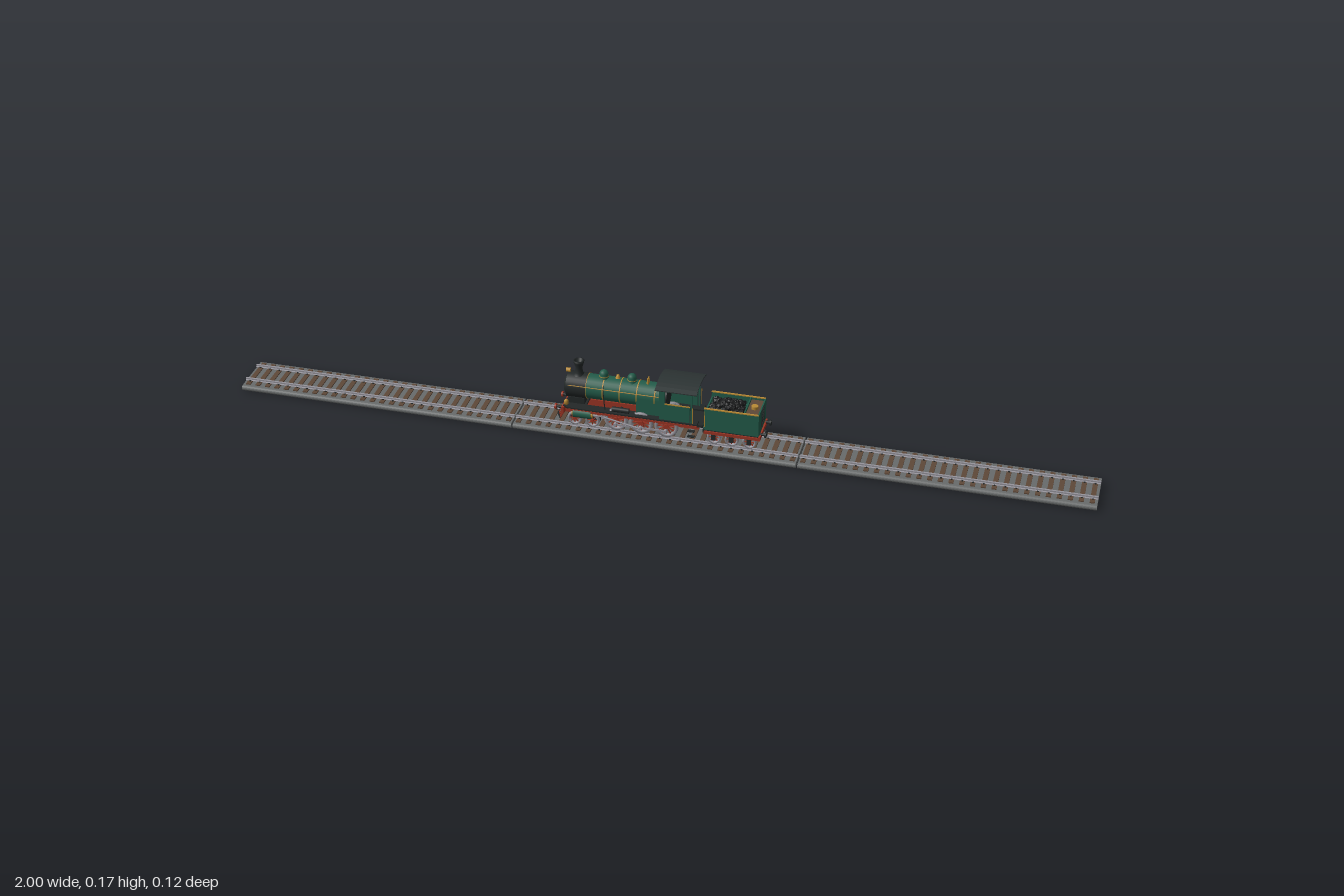
import * as THREE from 'three';
import { mergeGeometries } from 'three/addons/utils/BufferGeometryUtils.js';

const mat = (name, color, side = THREE.FrontSide) => {
  const m = new THREE.MeshStandardMaterial({ color, side });
  m.name = name;
  return m;
};

export function createModel() {
  const green = mat('locomotive green', 0x235c4a, THREE.DoubleSide);
  const black = mat('soot black', 0x232828);
  const red = mat('chassis red', 0x9c3524);
  const gold = mat('brass', 0xb98a35);
  const steel = mat('steel', 0x96949c);
  const ballastGrey = mat('ballast grey', 0x686b6b);
  const brown = mat('sleeper brown', 0x5e4838);
  const coalMat = mat('coal', 0x191a1b);
  const roofMat = mat('roof grey', 0x2c3333);

  const model = new THREE.Group();
  model.name = 'steamTrainOnTrack';
  const group = (name) => {
    const g = new THREE.Group();
    g.name = name;
    model.add(g);
    return g;
  };
  const add = (parent, name, geo, m, x = 0, y = 0, z = 0) => {
    const mesh = new THREE.Mesh(geo, m);
    mesh.name = name;
    mesh.position.set(x, y, z);
    parent.add(mesh);
    return mesh;
  };
  // box given by its extents along x, y and z
  const box = (p, name, m, x0, x1, y0, y1, z0, z1) => add(p, name,
    new THREE.BoxGeometry(x1 - x0, y1 - y0, z1 - z0), m, (x0 + x1) / 2, (y0 + y1) / 2, (z0 + z1) / 2);
  const cylX = (p, name, m, r, x0, x1, y, z, r2 = r) => add(p, name,
    new THREE.CylinderGeometry(r2, r, x1 - x0, 28).rotateZ(-Math.PI / 2), m, (x0 + x1) / 2, y, z);
  const cylZ = (p, name, m, r, len, x, y, z) => add(p, name,
    new THREE.CylinderGeometry(r, r, len, 20).rotateX(Math.PI / 2), m, x, y, z);
  const lathe = (p, name, m, pts, x, y) => add(p, name,
    new THREE.LatheGeometry(pts.map(([r, h]) => new THREE.Vector2(r, h)), 24), m, x, y, 0);
  const rod = (p, name, m, r, ...pts) => {
    const curve = new THREE.CatmullRomCurve3(pts.map((q) => new THREE.Vector3(...q)));
    return add(p, name, new THREE.TubeGeometry(curve, pts.length * 3, r, 8), m);
  };
  const bothSides = (fn) => [1, -1].forEach(fn);

  // Track: three sections with rounded ballast shoulders
  const track = group('track');
  const bed = new THREE.Shape();
  bed.moveTo(-0.054, 0);
  bed.lineTo(0.054, 0);
  bed.absarc(0.0535, 0.0065, 0.0065, -Math.PI / 2, Math.PI / 2, false);
  bed.lineTo(-0.054, 0.013);
  bed.absarc(-0.0535, 0.0065, 0.0065, Math.PI / 2, Math.PI * 1.5, false);
  const railShape = new THREE.Shape([[-0.004, 0], [0.004, 0], [0.004, 0.001], [0.001, 0.0018], [0.001, 0.004],
    [0.0022, 0.0045], [0.0022, 0.006], [-0.0022, 0.006], [-0.0022, 0.0045], [-0.001, 0.004], [-0.001, 0.0018],
    [-0.004, 0.001]].map(([a, b]) => new THREE.Vector2(a, b)));
  const along = (shape, len) => new THREE.ExtrudeGeometry(shape, { depth: len, bevelEnabled: false, curveSegments: 8 })
    .translate(0, 0, -len / 2).rotateY(Math.PI / 2);
  const SECTION = 2 / 3, PER = 28;
  for (let s = -1; s <= 1; s++) {
    const cx = s * SECTION, len = SECTION - (s ? 0.002 : 0.004);
    const x = cx + s * 0.001;
    add(track, 'ballastBed', along(bed, len), ballastGrey, x, 0, 0);
    bothSides((k) => add(track, 'rail', along(railShape, len), steel, x, 0.0148, k * 0.031));
    const sleepers = [], clips = [];
    for (let i = 0; i < PER; i++) {
      const sx = cx + ((i + 0.5) / PER - 0.5) * SECTION;
      sleepers.push(new THREE.BoxGeometry(0.011, 0.004, 0.098).translate(sx, 0.0135, 0));
      for (const z of [-0.0365, -0.0255, 0.0255, 0.0365])
        clips.push(new THREE.BoxGeometry(0.004, 0.0015, 0.003).translate(sx, 0.016, z));
    }
    add(track, 'sleepers', mergeGeometries(sleepers), brown);
    add(track, 'railClips', mergeGeometries(clips), black);
  }

  // Spoked wheel pair with axle
  const RAIL = 0.0205;
  const wheelSet = (parent, x, r, spokes) => {
    const y = RAIL + r, t = r * 0.13;
    cylZ(parent, 'axle', black, 0.004, 0.062, x, y, 0);
    const rim = [[r - 2 * t, -0.003], [r, -0.003], [r, 0.003], [r - 2 * t, 0.003], [r - 2 * t, -0.003]];
    bothSides((k) => {
      const w = new THREE.Group();
      w.name = 'wheel';
      w.position.set(x, y, k * 0.031);
      parent.add(w);
      add(w, 'tyre', new THREE.LatheGeometry(rim.map(([a, b]) => new THREE.Vector2(a, b)), 32)
        .rotateX(Math.PI / 2), steel);
      add(w, 'flange', new THREE.TorusGeometry(r, 0.001, 6, 32), steel, 0, 0, -k * 0.003);
      const arms = [];
      for (let i = 0; i < spokes; i++)
        arms.push(new THREE.BoxGeometry(r * 0.85, r * 0.08, 0.003).translate(r * 0.42, 0, 0)
          .rotateZ(i / spokes * Math.PI * 2));
      add(w, 'spokes', mergeGeometries(arms), red);
      cylZ(w, 'hub', red, r * 0.22, 0.009, 0, 0, 0);
    });
  };

  // Locomotive chassis and running gear
  const chassis = group('locomotiveChassis');
  const drivers = [-0.092, -0.033, 0.026];
  drivers.forEach((x) => wheelSet(chassis, x, 0.027, 12));
  [-0.19, -0.148].forEach((x) => wheelSet(chassis, x, 0.016, 8));
  bothSides((k) => {
    box(chassis, 'mainFrame', red, -0.215, 0.1, 0.044, 0.06, k * 0.02 - 0.002, k * 0.02 + 0.002);
    box(chassis, 'bogieFrame', black, -0.207, -0.13, 0.035, 0.042, k * 0.024 - 0.002, k * 0.024 + 0.002);
    cylX(chassis, 'cylinder', green, 0.0115, -0.19, -0.148, 0.056, k * 0.038);
    cylX(chassis, 'cylinderCap', gold, 0.008, -0.193, -0.145, 0.056, k * 0.038);
    box(chassis, 'couplingRod', steel, drivers[0] - 0.004, drivers[2] + 0.004, 0.036, 0.0405, k * 0.039 - 0.001, k * 0.039 + 0.001);
    rod(chassis, 'mainRod', steel, 0.002, [-0.118, 0.056, k * 0.043], [drivers[1], 0.0385, k * 0.043]);
    rod(chassis, 'pistonRod', steel, 0.0015, [-0.148, 0.056, k * 0.041], [-0.112, 0.056, k * 0.041]);
    box(chassis, 'crosshead', steel, -0.124, -0.113, 0.051, 0.061, k * 0.041 - 0.002, k * 0.041 + 0.002);
    drivers.forEach((x) => cylZ(chassis, 'crankPin', steel, 0.004, 0.012, x, 0.0385, k * 0.038));
    box(chassis, 'runningBoard', black, -0.208, 0.1, 0.066, 0.07, Math.min(k * 0.022, k * 0.044), Math.max(k * 0.022, k * 0.044));
    box(chassis, 'runningBoardEdge', red, -0.208, 0.1, 0.062, 0.067, k * 0.044 - 0.001, k * 0.044 + 0.001);
    for (let i = 0; i < 2; i++)
      box(chassis, 'cabStep', black, 0.078, 0.094, 0.035 + i * 0.014, 0.037 + i * 0.014, k * 0.041 - 0.004, k * 0.041 + 0.004);
    cylX(chassis, 'bufferShank', black, 0.003, -0.234, -0.215, 0.058, k * 0.027);
    cylX(chassis, 'bufferHead', red, 0.0065, -0.238, -0.234, 0.058, k * 0.027);
    lathe(chassis, 'headlamp', gold, [[0, 0], [0.005, 0], [0.005, 0.009], [0.002, 0.012], [0, 0.012]], -0.21, 0.07).position.z = k * 0.03;
  });
  box(chassis, 'bufferBeam', red, -0.219, -0.213, 0.05, 0.067, -0.042, 0.042);
  box(chassis, 'frontDeck', black, -0.216, -0.165, 0.064, 0.068, -0.036, 0.036);
  box(chassis, 'ashPan', black, -0.012, 0.07, 0.046, 0.075, -0.017, 0.017);
  // Sloping bars of the track guard
  for (let i = -4; i <= 4; i++)
    rod(chassis, 'guardBar', red, 0.0013, [-0.215, 0.051, i * 0.008], [-0.238 + Math.abs(i) * 0.003, 0.028, i * 0.007]);
  rod(chassis, 'guardFoot', black, 0.0018, [-0.225, 0.028, -0.03], [-0.238, 0.028, 0], [-0.225, 0.028, 0.03]);

  // Boiler with mountings
  const boiler = group('boiler');
  const BY = 0.108, BR = 0.029;
  cylX(boiler, 'smokebox', black, BR + 0.001, -0.212, -0.165, BY, 0);
  cylX(boiler, 'boilerBarrel', green, BR, -0.165, 0.012, BY, 0);
  cylX(boiler, 'smokeboxDoor', black, 0.019, -0.218, -0.212, BY, 0, 0.024);
  cylX(boiler, 'doorHandle', gold, 0.003, -0.222, -0.217, BY, 0);
  box(boiler, 'smokeboxSaddle', black, -0.207, -0.17, 0.06, 0.084, -0.02, 0.02);
  box(boiler, 'firebox', green, -0.045, 0.012, 0.07, BY, -BR, BR);
  [-0.165, -0.125, -0.085, -0.045, -0.003].forEach((x) => cylX(boiler, 'boilerBand', gold, BR + 0.0009, x - 0.0012, x + 0.0012, BY, 0));
  lathe(boiler, 'chimney', black, [[0.014, 0], [0.009, 0.006], [0.008, 0.019], [0.012, 0.032], [0.0125, 0.037],
    [0.009, 0.037], [0.007, 0.03], [0, 0.03]], -0.187, 0.135);
  cylZ(boiler, 'frontLamp', gold, 0.005, 0.01, -0.212, 0.143, 0).rotation.y = Math.PI / 2;
  const dome = [[0.013, 0], [0.0105, 0.004], [0.0105, 0.013], [0.008, 0.018], [0.004, 0.0205], [0, 0.021]];
  [-0.128, -0.062].forEach((x) => {
    lathe(boiler, 'dome', green, dome, x, 0.134);
    lathe(boiler, 'domeRing', gold, [[0.0108, 0], [0.0115, 0.001], [0.0108, 0.002]], x, 0.139);
  });
  [-0.004, 0.004].forEach((z) => add(boiler, 'safetyValve', new THREE.CylinderGeometry(0.002, 0.003, 0.014, 12), gold, -0.024, 0.143, z));
  lathe(boiler, 'bell', gold, [[0.006, 0], [0.004, 0.004], [0.003, 0.008], [0, 0.009]], -0.095, 0.139);
  bothSides((k) => {
    rod(boiler, 'handrail', gold, 0.001, [-0.205, 0.121, k * 0.031], [0.008, 0.121, k * 0.031]);
    rod(boiler, 'sandPipe', black, 0.0012, [-0.128, 0.136, k * 0.009], [-0.122, 0.115, k * 0.031], [-0.118, 0.07, k * 0.032]);
    cylX(boiler, 'airTank', black, 0.006, -0.1, -0.06, 0.077, k * 0.036);
  });

  // Cab with open windows and a curved roof
  const cab = group('cab');
  const front = new THREE.Shape([[-0.039, 0.062], [0.039, 0.062], [0.039, 0.148], [0, 0.154], [-0.039, 0.148]]
    .map(([a, b]) => new THREE.Vector2(a, b)));
  bothSides((k) => front.holes.push(new THREE.Path([[k * 0.035, 0.117], [k * 0.035, 0.142], [k * 0.012, 0.142], [k * 0.027, 0.124]]
    .map(([a, b]) => new THREE.Vector2(a, b)))));
  add(cab, 'cabFront', along(front, 0.003), green, 0.012, 0, 0);
  bothSides((k) => {
    const z0 = k * 0.039 - 0.0015, z1 = k * 0.039 + 0.0015;
    box(cab, 'cabSide', green, 0.011, 0.082, 0.062, 0.112, z0, z1);
    box(cab, 'frontPost', green, 0.011, 0.024, 0.112, 0.15, z0, z1);
    box(cab, 'rearPost', green, 0.084, 0.088, 0.068, 0.15, z0, z1);
    box(cab, 'windowHead', green, 0.011, 0.088, 0.143, 0.15, z0, z1);
    box(cab, 'windowSill', gold, 0.024, 0.083, 0.111, 0.1135, k * 0.041 - 0.001, k * 0.041 + 0.001);
    rod(cab, 'cabHandrail', gold, 0.001, [0.09, 0.072, k * 0.044], [0.09, 0.113, k * 0.044]);
  });
  box(cab, 'rearBeam', green, 0.084, 0.088, 0.141, 0.147, -0.039, 0.039);
  box(cab, 'cabFloor', black, 0.012, 0.112, 0.06, 0.066, -0.037, 0.037);
  cylX(cab, 'boilerBackhead', black, 0.025, 0.013, 0.024, BY, 0);
  const roof = new THREE.Shape();
  roof.moveTo(-0.048, 0.148);
  roof.quadraticCurveTo(0, 0.166, 0.048, 0.148);
  roof.lineTo(0.048, 0.15);
  roof.quadraticCurveTo(0, 0.169, -0.048, 0.15);
  add(cab, 'cabRoof', along(roof, 0.097), roofMat, 0.0515, 0, 0);

  // Tender
  const tender = group('tender');
  [0.137, 0.178, 0.219].forEach((x) => wheelSet(tender, x, 0.0155, 8));
  box(tender, 'tenderFrame', black, 0.112, 0.242, 0.048, 0.058, -0.036, 0.036);
  box(tender, 'tenderFloor', green, 0.115, 0.24, 0.058, 0.094, -0.037, 0.037);
  bothSides((k) => {
    box(tender, 'tenderSide', green, 0.115, 0.24, 0.058, 0.113, k * 0.038 - 0.0015, k * 0.038 + 0.0015);
    box(tender, 'sideRim', gold, 0.115, 0.24, 0.112, 0.1145, k * 0.038 - 0.002, k * 0.038 + 0.002);
    box(tender, 'soleBar', red, 0.115, 0.24, 0.047, 0.054, k * 0.038 - 0.0015, k * 0.038 + 0.0015);
    [0.137, 0.178, 0.219].forEach((x) => box(tender, 'axleBox', black, x - 0.005, x + 0.005, 0.032, 0.047, k * 0.037 - 0.002, k * 0.037 + 0.002));
    rod(tender, 'tenderHandrail', gold, 0.001, [0.118, 0.068, k * 0.044], [0.118, 0.11, k * 0.044]);
    cylX(tender, 'rearBufferShank', black, 0.003, 0.243, 0.253, 0.058, k * 0.027);
    cylX(tender, 'rearBufferHead', black, 0.0065, 0.253, 0.257, 0.058, k * 0.027);
    box(tender, 'ladderRail', black, 0.241, 0.243, 0.068, 0.113, k * 0.011 - 0.0008, k * 0.011 + 0.0008);
  });
  box(tender, 'tenderRear', green, 0.238, 0.241, 0.058, 0.113, -0.0395, 0.0395);
  box(tender, 'tenderFront', green, 0.115, 0.118, 0.058, 0.1, -0.0395, 0.0395);
  box(tender, 'coalPlate', green, 0.205, 0.208, 0.094, 0.113, -0.037, 0.037);
  box(tender, 'waterDeck', brown, 0.208, 0.238, 0.094, 0.107, -0.037, 0.037);
  add(tender, 'waterFiller', new THREE.CylinderGeometry(0.008, 0.008, 0.008, 20), gold, 0.223, 0.11, 0);
  box(tender, 'rearBeam', red, 0.24, 0.245, 0.048, 0.058, -0.041, 0.041);
  for (let i = 0; i < 5; i++) box(tender, 'ladderRung', black, 0.241, 0.243, 0.072 + i * 0.009, 0.0732 + i * 0.009, -0.011, 0.011);
  box(tender, 'drawbar', black, 0.095, 0.117, 0.05, 0.055, -0.006, 0.006);
  rod(tender, 'couplingHook', black, 0.0015, [0.245, 0.053, 0], [0.252, 0.052, 0], [0.252, 0.04, 0]);

  // Heap of coal lumps
  let seed = 7;
  const rand = () => (seed = (seed * 16807) % 2147483647) / 2147483647;
  const lumps = [];
  for (let i = 0; i < 110; i++) {
    const u = rand() * 2 - 1, v = rand() * 2 - 1;
    lumps.push(new THREE.IcosahedronGeometry(0.005 + rand() * 0.003, 0).rotateX(rand() * 6).rotateY(rand() * 6)
      .translate(0.162 + u * 0.037, 0.1 + 0.014 * (1 - u * u) * (1 - v * v), v * 0.03));
  }
  add(tender, 'coalHeap', mergeGeometries(lumps), coalMat);

  return model;
}
